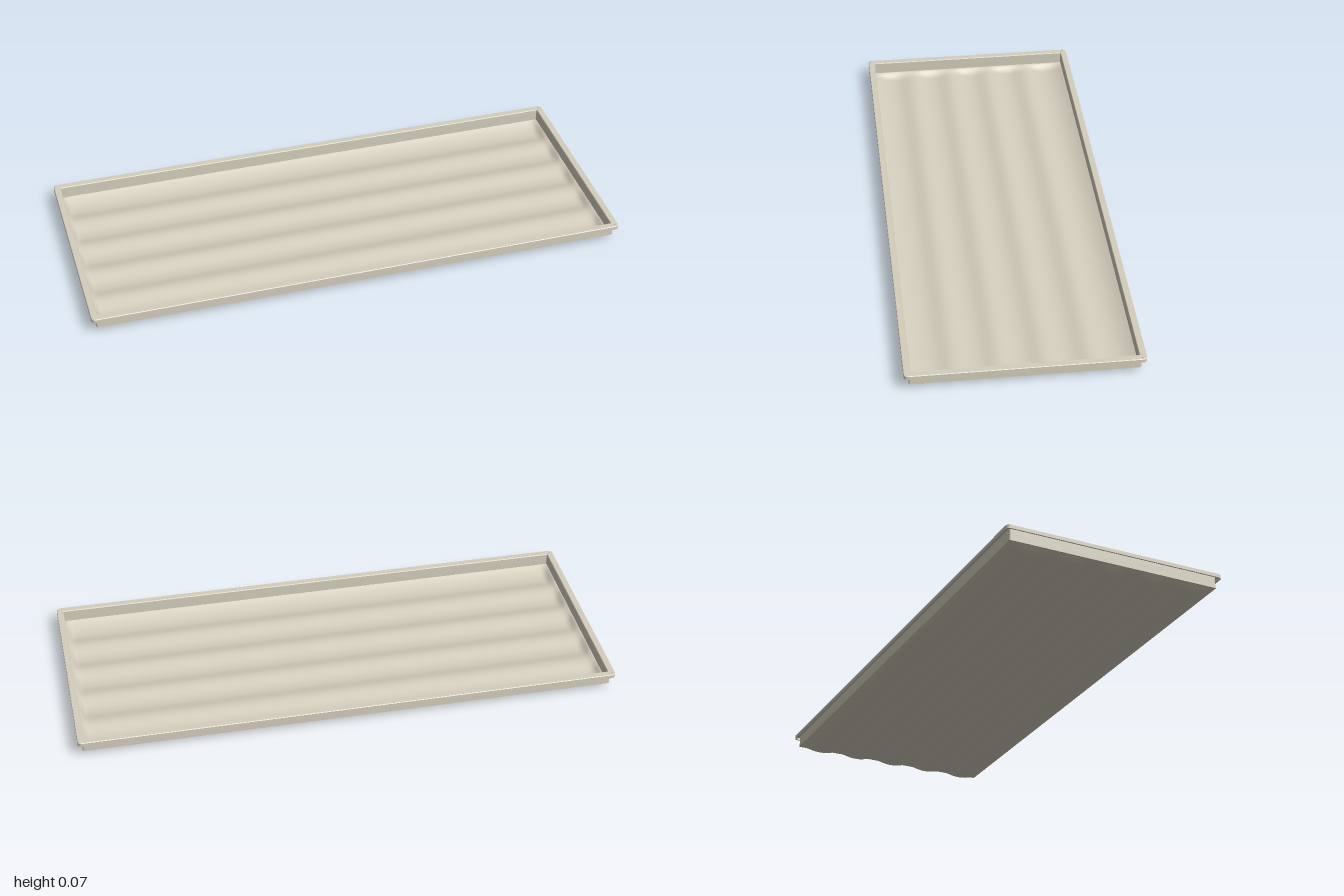
import * as THREE from 'three';

const HX = 0.983, HZ = 0.4; // outer half-size of the pan wall
const EDGE = 0.02;          // height where floor meets wall

// Rounded rectangle, grown by d from the wall, at height y
function ring(d, y) {
  const r = Math.max(0.002, 0.006 + d * 0.5), pts = [];
  for (let c = 0; c < 4; c++) {
    const sx = c === 0 || c === 3 ? 1 : -1, sz = c < 2 ? 1 : -1;
    for (let k = 0; k <= 4; k++) {
      const a = (c + k / 4) * Math.PI / 2;
      pts.push([sx * (HX + d - r) + r * Math.cos(a), y, sz * (HZ + d - r) + r * Math.sin(a)]);
    }
  }
  return pts;
}

// One band of the rim between two neighbouring profile points
function band(p, q) {
  const a = ring(...p), b = ring(...q), n = a.length, index = [];
  for (let j = 0; j < n; j++) {
    const k = (j + 1) % n;
    index.push(j, n + j, k, k, n + j, n + k);
  }
  const g = new THREE.BufferGeometry();
  g.setAttribute('position', new THREE.Float32BufferAttribute([...a, ...b].flat(), 3));
  g.setIndex(index);
  g.computeVertexNormals();
  return g;
}

// Five troughs run along x, rising to the walls on every side
function floorHeight(x, z, hx, hz) {
  const az = Math.abs(z), pitch = 0.158, last = 2 * pitch;
  const f = az > last
    ? EDGE * Math.pow((az - last) / (hz - last), 2)
    : 0.012 * Math.pow((1 - Math.cos(2 * Math.PI * az / pitch)) / 2, 1.2);
  const t = THREE.MathUtils.smoothstep(hx - Math.abs(x), 0, 0.026);
  return THREE.MathUtils.lerp(EDGE, f, t);
}

function floorSheet(hx, hz, lift, flip) {
  const g = new THREE.PlaneGeometry(2, 2 * hz, 44, 90).rotateX(-Math.PI / 2);
  const p = g.attributes.position;
  for (let i = 0; i < p.count; i++) {
    const u = p.getX(i), z = p.getZ(i);
    const x = Math.sign(u) * hx * (1 - Math.pow(1 - Math.min(1, Math.abs(u)), 2.5)); // finer near the ends
    p.setXYZ(i, x, floorHeight(x, z, hx, hz) + lift, z);
  }
  if (flip) g.index.array.reverse();
  g.computeVertexNormals();
  return g;
}

export function createModel() {
  const model = new THREE.Group();
  model.name = 'tray';
  const enamel = new THREE.MeshStandardMaterial({ color: 0xd4cebd });
  enamel.name = 'warm grey';
  const add = (geometry, name, parent = model) => {
    const m = new THREE.Mesh(geometry, enamel);
    m.name = name;
    parent.add(m);
    return m;
  };

  // Corrugated floor, both faces
  add(floorSheet(HX - 0.008, HZ - 0.008, 0.003, false), 'floorTop');
  add(floorSheet(HX, HZ, 0, true), 'floorUnderside');

  // Wall and turned-down lip: [offset from wall, height], outside to inside
  const profile = [
    [0, EDGE], [0, 0.064], [0.012, 0.064], [0.012, 0.055], [0.017, 0.055],
    [0.017, 0.068], [0.015, 0.07], [-0.006, 0.07], [-0.008, 0.067], [-0.008, EDGE],
  ];
  const rim = new THREE.Group();
  rim.name = 'wallAndLip';
  model.add(rim);
  for (let i = 0; i < profile.length - 1; i++) add(band(profile[i], profile[i + 1]), 'rimBand', rim);

  // Small stacking studs on the short ends
  for (const x of [-0.99, 0.99]) for (const z of [-0.405, 0, 0.405]) {
    add(new THREE.CylinderGeometry(0.005, 0.007, 0.004, 12), 'stackingStud').position.set(x, 0.07, z);
  }
  return model;
}
